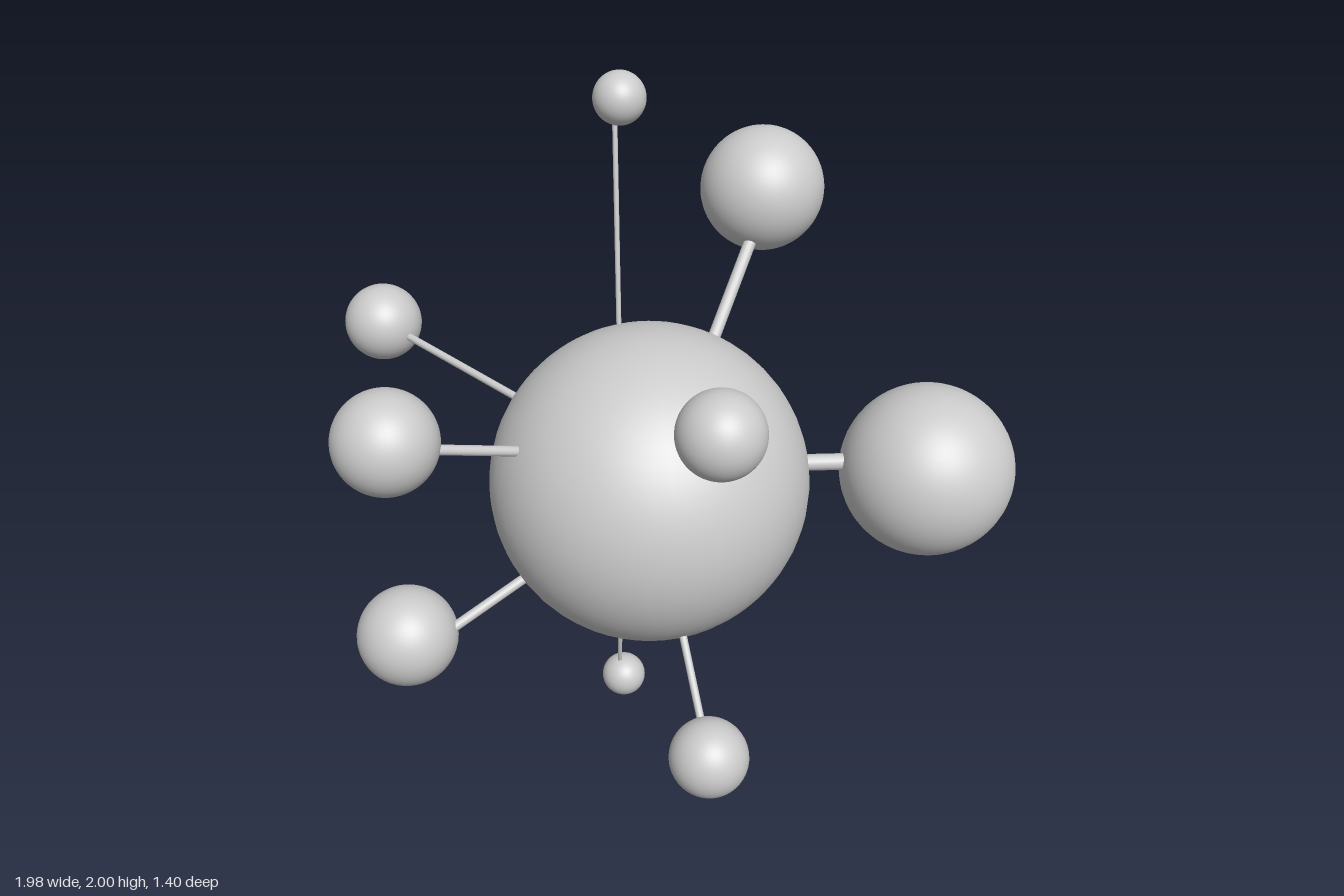
import * as THREE from 'three';

const material = new THREE.MeshStandardMaterial({ color: 0xcccccc });

function ball(name, x, y, z, r) {
  const mesh = new THREE.Mesh(new THREE.SphereGeometry(r, 48, 32), material);
  mesh.name = name;
  mesh.position.set(x, y, z);
  return mesh;
}

// Rod through two visible points, sunk a little into the ball and the core
function rod(name, outer, inner, r) {
  const a = new THREE.Vector3(...outer), b = new THREE.Vector3(...inner);
  const dir = a.clone().sub(b).normalize();
  a.addScaledVector(dir, 0.05);
  b.addScaledVector(dir, -0.06);
  const mesh = new THREE.Mesh(new THREE.CylinderGeometry(r, r, a.distanceTo(b), 16), material);
  mesh.name = name;
  mesh.position.copy(a).add(b).multiplyScalar(0.5);
  mesh.quaternion.setFromUnitVectors(new THREE.Vector3(0, 1, 0), dir);
  return mesh;
}

// Satellites: ball centre and radius, rod end at the ball, rod end at the core, rod radius
const satellites = [
  { name: 'leftSide', c: [0.757, 1.015, -0.08], r: 0.228, a: [0.56, 1.042, -0.025], b: [0.45, 1.04, 0.005], t: 0.022 },
  { name: 'rightSide', c: [-0.88, 1.092, -0.357], r: 0.113, a: [-0.771, 1.078, -0.305], b: [-0.352, 1.048, -0.09], t: 0.011 },
  { name: 'back', c: [0.214, 1.563, -0.53], r: 0.17, a: [0.2, 1.427, -0.37], b: [0.156, 1.265, -0.18], t: 0.017, pair: true },
  { name: 'frontRight', c: [-0.48, 1.297, 0.543], r: 0.13, a: [-0.357, 1.27, 0.503], b: [-0.215, 1.197, 0.36], t: 0.013, pair: true },
  { name: 'frontLeft', c: [0.328, 1.481, 0.598], r: 0.101, a: [0.279, 1.394, 0.513], b: [0.215, 1.28, 0.4], t: 0.01, pair: true },
  { name: 'pole', c: [-0.082, 1.934, -0.122], r: 0.066, a: [-0.092, 1.87, -0.114], b: [-0.061, 1.394, -0.019], t: 0.0066, pair: true },
];

export function createModel() {
  const model = new THREE.Group();
  model.name = 'ballCluster';
  model.add(ball('coreBall', 0.058, 1, 0.13, 0.417));

  for (const { name, c, r, a, b, t, pair } of satellites) {
    // Paired satellites repeat below the middle plane y = 1
    for (const level of pair ? ['Upper', 'Lower'] : ['']) {
      const flip = ([x, y, z]) => [x, level === 'Lower' ? 2 - y : y, z];
      const group = new THREE.Group();
      group.name = `${name}${level}Satellite`;
      group.add(ball(`${name}${level}Ball`, ...flip(c), r));
      group.add(rod(`${name}${level}Rod`, flip(a), flip(b), t));
      model.add(group);
    }
  }
  return model;
}
